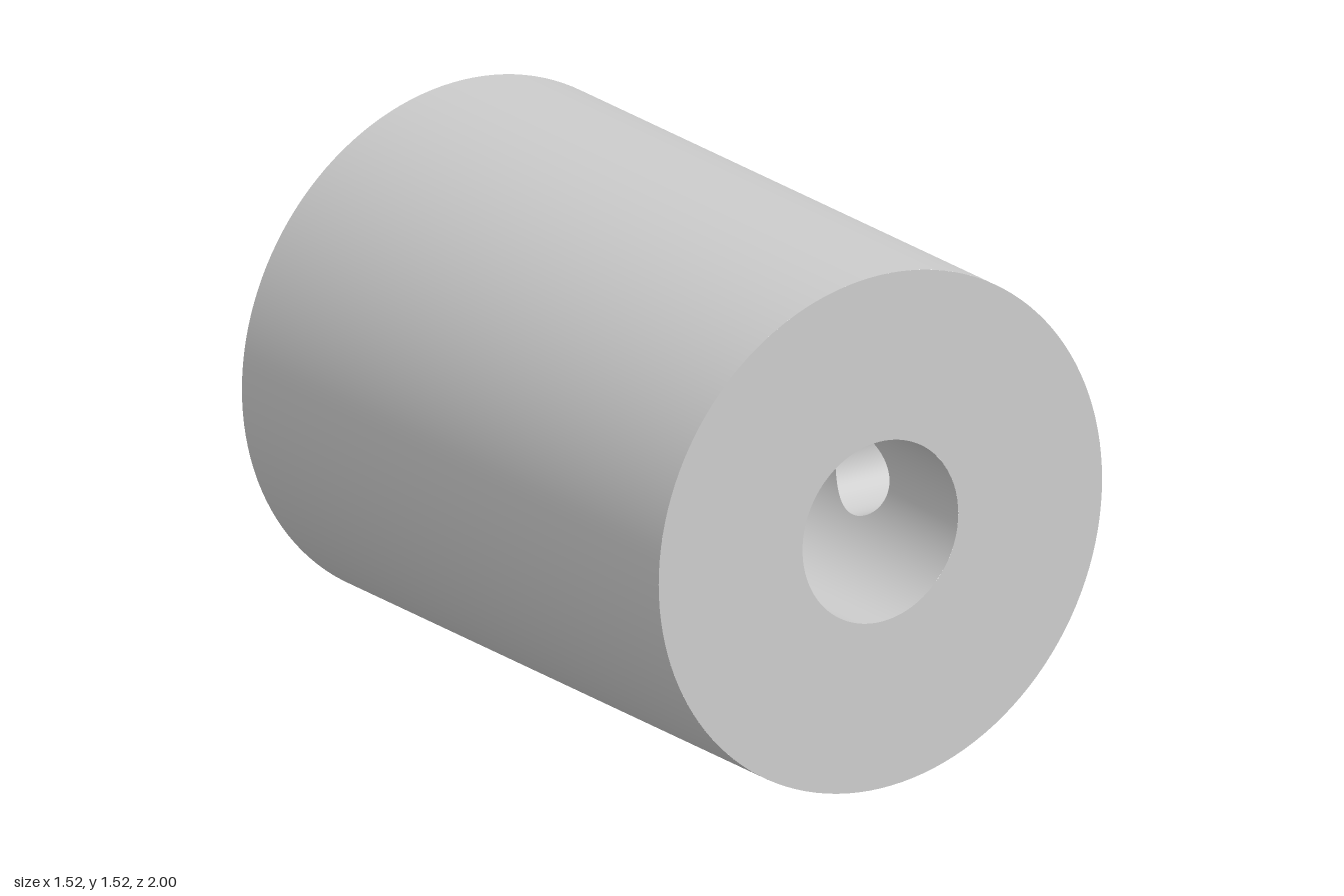
import * as THREE from 'three';
import { ParametricGeometry } from 'three/addons/geometries/ParametricGeometry.js';

const R = 0.76;        // outer radius
const BORE = 0.267;    // bore radius
const HOLE = 0.13;     // set screw hole radius
const HOLE_Z = 0.54;   // set screw hole position
const FLOOR_Z = 0.08;  // bottom of the blind bore
const TAU = Math.PI * 2;

const material = new THREE.MeshStandardMaterial({ color: 0xcccccc });

function addMesh(group, name, geometry) {
  const mesh = new THREE.Mesh(geometry, material);
  mesh.name = name;
  group.add(mesh);
  return mesh;
}

// Round wall from z0 to the end face, leaving a gap of +-gap radians on the +x side.
// dir = 1 faces outwards, dir = -1 faces the axis.
function wall(radius, gap, z0, dir) {
  return new ParametricGeometry((u, v, p) => {
    const a = dir * (gap + u * (TAU - 2 * gap));
    p.set(radius * Math.cos(a), radius * Math.sin(a), z0 + v * (1 - z0));
  }, 120, 1);
}

// Patch that fills the gap in a wall, pierced by the set screw hole.
function piercedPatch(radius, gap, z0, dir) {
  return new ParametricGeometry((u, v, p) => {
    const t = -dir * u * TAU, c = Math.cos(t), s = Math.sin(t);
    const m = Math.max(Math.abs(c), Math.abs(s));
    const reach = s > 0 ? 1 - HOLE_Z : HOLE_Z - z0;
    const a = THREE.MathUtils.lerp(Math.asin(HOLE * c / radius), gap * c / m, v);
    const z = THREE.MathUtils.lerp(HOLE * s, reach * s / m, v);
    p.set(radius * Math.cos(a), radius * Math.sin(a), HOLE_Z + z);
  }, 64, 8);
}

// Side of the set screw hole, running from the bore to the outer wall.
function screwHole() {
  return new ParametricGeometry((u, v, p) => {
    const t = -u * TAU, y = HOLE * Math.cos(t);
    const x = THREE.MathUtils.lerp(Math.sqrt(BORE ** 2 - y * y), Math.sqrt(R ** 2 - y * y), v);
    p.set(x, y, HOLE_Z + HOLE * Math.sin(t));
  }, 64, 1);
}

// One half of the coupling, open towards +z.
function makeHalf(name) {
  const half = new THREE.Group();
  half.name = name;
  addMesh(half, 'outerWall', wall(R, 0.3, 0, 1));
  addMesh(half, 'outerWallPatch', piercedPatch(R, 0.3, 0, 1));
  addMesh(half, 'boreWall', wall(BORE, 0.8, FLOOR_Z, -1));
  addMesh(half, 'boreWallPatch', piercedPatch(BORE, 0.8, FLOOR_Z, -1));
  addMesh(half, 'setScrewHole', screwHole());
  addMesh(half, 'endFace', new THREE.RingGeometry(BORE, R, 128)).position.z = 1;
  addMesh(half, 'boreFloor', new THREE.CircleGeometry(BORE, 128)).position.z = FLOOR_Z;
  return half;
}

export function createModel() {
  const model = new THREE.Group();
  model.name = 'shaftCoupling';
  const front = makeHalf('frontHalf');
  const back = makeHalf('backHalf');
  back.rotation.x = Math.PI; // keeps both set screw holes on the +x side
  for (const half of [front, back]) {
    half.position.y = R;
    model.add(half);
  }
  return model;
}
